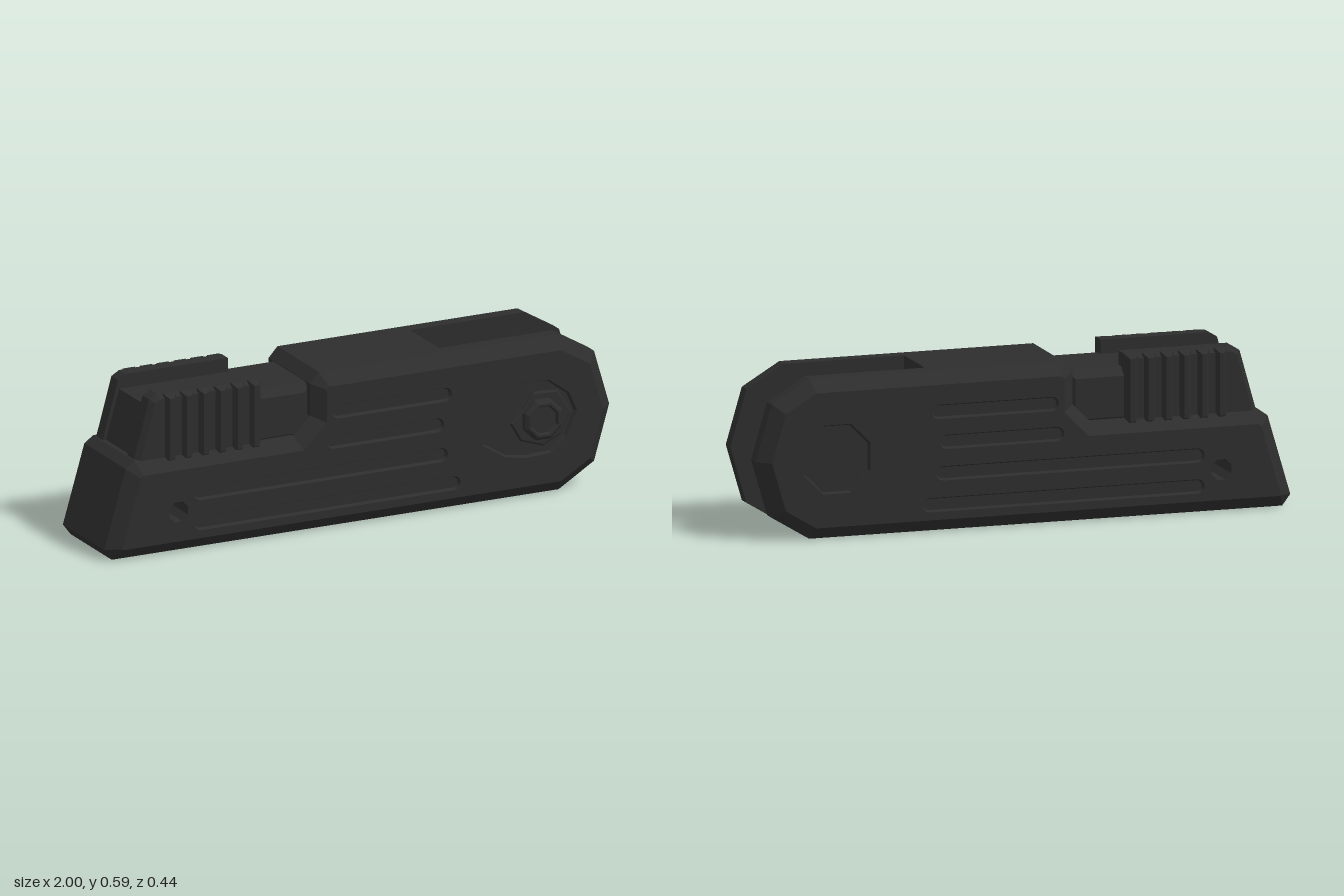
import * as THREE from 'three';
import { mergeGeometries } from 'three/addons/utils/BufferGeometryUtils.js';

const charcoal = new THREE.MeshStandardMaterial({ color: 0x2d2d2d });
charcoal.name = 'charcoal';

const toGeo = (positions) => {
  const g = new THREE.BufferGeometry();
  g.setAttribute('position', new THREE.Float32BufferAttribute(positions, 3));
  return g;
};

// reverse the facing of a non-indexed geometry
function flip(g) {
  const p = Array.from(g.attributes.position.array);
  for (let i = 0; i < p.length; i += 9)
    for (let k = 0; k < 3; k++) [p[i + 3 + k], p[i + 6 + k]] = [p[i + 6 + k], p[i + 3 + k]];
  return toGeo(p);
}

// band of quads between two matching outlines
function band(a, za, b, zb) {
  const p = [];
  a.forEach((_, i) => {
    const j = (i + 1) % a.length;
    const [A, B, C, D] = [[...a[i], za], [...a[j], za], [...b[j], zb], [...b[i], zb]];
    p.push(...A, ...B, ...C, ...A, ...C, ...D);
  });
  return toGeo(p);
}

const vecs = (pts) => pts.map(([x, y]) => new THREE.Vector2(x, y));

// flat face with openings
function face(pts, z, holes = []) {
  const s = new THREE.Shape(vecs(pts));
  holes.forEach((h) => s.holes.push(new THREE.Path(vecs(h))));
  const g = new THREE.ShapeGeometry(s).toNonIndexed().translate(0, 0, z);
  return toGeo(Array.from(g.attributes.position.array));
}

// mitred inward offset of a counterclockwise outline
function inset(pts, d) {
  const n = pts.length;
  const normal = (a, b) => {
    const l = Math.hypot(b[0] - a[0], b[1] - a[1]);
    return [-(b[1] - a[1]) / l, (b[0] - a[0]) / l];
  };
  return pts.map((p, i) => {
    const m = normal(pts[(i + n - 1) % n], p), q = normal(p, pts[(i + 1) % n]);
    const k = d / (1 + m[0] * q[0] + m[1] * q[1]);
    return [p[0] + (m[0] + q[0]) * k, p[1] + (m[1] + q[1]) * k];
  });
}

// plate from z0 to z2, chamfered between z1 and z2, with through holes and shallow pockets
function bevelPlate(pts, z0, z1, z2, d, through = [], pockets = [], depth = 0.015) {
  const top = inset(pts, d);
  const parts = [
    band(pts, z0, pts, z1), band(pts, z1, top, z2),
    face(top, z2, [...through, ...pockets]), flip(face(pts, z0, through)),
  ];
  through.forEach((h) => parts.push(band(h, z2, h, 0)));
  pockets.forEach((h) => {
    const floor = inset(h, 0.006);
    parts.push(band(h, z2, floor, z2 - depth), face(floor, z2 - depth));
  });
  return mergeGeometries(parts);
}

const ngon = (x, y, r, n = 8, turn = Math.PI / 8) => Array.from({ length: n }, (_, i) => {
  const a = turn + (i / n) * Math.PI * 2;
  return [x + r * Math.cos(a), y + r * Math.sin(a)];
});

// rounded slot outline
function capsule(x0, x1, y, r) {
  const pts = [];
  for (let i = 0; i <= 6; i++) {
    const a = -Math.PI / 2 + (i / 6) * Math.PI;
    pts.push([x1 - r + r * Math.cos(a), y + r * Math.sin(a)]);
  }
  for (let i = 0; i <= 6; i++) {
    const a = Math.PI / 2 + (i / 6) * Math.PI;
    pts.push([x0 + r + r * Math.cos(a), y + r * Math.sin(a)]);
  }
  return pts;
}

export function createModel() {
  const model = new THREE.Group();
  model.name = 'housing';
  const body = new THREE.Group();
  body.name = 'body';
  body.position.z = -0.0125;
  model.add(body);

  const add = (name, geo, side = 1) => {
    let g = geo;
    if (side < 0) g = flip(geo.clone().scale(1, 1, -1));
    g.computeVertexNormals();
    const m = new THREE.Mesh(g, charcoal);
    m.name = name;
    body.add(m);
  };

  // outlines
  const rear = [[0.8, 0.578], [-0.15, 0.578], [-0.185, 0.54], [-0.185, 0.42], [-0.25, 0.355],
    [-0.88, 0.355], [-0.915, 0.33], [-1, 0.04], [-0.97, 0]];
  const sideOutline = [...rear, [0.8, 0], [0.94, 0.085], [1, 0.29], [0.94, 0.495]];
  const centreOutline = [...rear.slice(1), [0.49, 0], [0.35, 0.29], [0.35, 0.578]];
  const pinHole = ngon(-0.727, 0.155, 0.04);
  const grooves = [[-0.12, 0.355, 0.435], [-0.14, 0.325, 0.325], [-0.665, 0.34, 0.212], [-0.665, 0.39, 0.1]]
    .map(([a, b, y]) => capsule(a, b, y, 0.026));
  const pivotRecess = [[0.45, 0.3], [0.48, 0.22], [0.57, 0.165], [0.65, 0.152], [0.75, 0.157], [0.81, 0.21],
    [0.85, 0.3], [0.82, 0.37], [0.74, 0.43], [0.58, 0.435], [0.5, 0.39]];
  const padOutline = [[-0.38, 0.33], [-0.38, 0.588], [-0.785, 0.588], [-0.815, 0.57], [-0.882, 0.33]];
  const coreOutline = [[-0.17, 0.33], [-0.17, 0.537], [-0.81, 0.537], [-0.87, 0.33]];

  // middle block, ending in the fork slot
  add('centreBlock', band(centreOutline, -0.1125, centreOutline, 0.1125));

  for (const side of [1, -1]) {
    const label = side > 0 ? 'front' : 'back';
    const pivot = side > 0 ? pivotRecess : ngon(0.71, 0.29, 0.135);
    add(label + 'SidePlate', bevelPlate(sideOutline, 0.1125, 0.1625, 0.2075, 0.045, [pinHole], [...grooves, pivot]), side);
    add(label + 'CoreHalf', bevelPlate(coreOutline, 0, 0.125, 0.155, 0.03), side);
    add(label + 'GripPad', bevelPlate(padOutline, 0.0965, 0.148, 0.166, 0.018), side);
    // grip ridges
    for (let i = 0; i < 6; i++) {
      const x = -0.74 + i * 0.067;
      const rib = [[x - 0.024, 0.33], [x + 0.024, 0.33], [x + 0.024, 0.586], [x - 0.024, 0.586]];
      add(label + 'GripRidge', bevelPlate(rib, 0.13, 0.162, 0.183, 0.015), side);
    }
  }

  // pivot boss with a dished head, on a raised pad
  const island = [[0.59, 0.285], [0.63, 0.215], [0.72, 0.185], [0.79, 0.22], [0.83, 0.3], [0.78, 0.385], [0.68, 0.39], [0.64, 0.33]];
  add('pivotPad', bevelPlate(island, 0.185, 0.198, 0.203, 0.006));
  add('pivotBoss', bevelPlate(ngon(0.71, 0.29, 0.079), 0.185, 0.222, 0.2325, 0.012, [], [ngon(0.71, 0.29, 0.058)], 0.01));
  return model;
}
